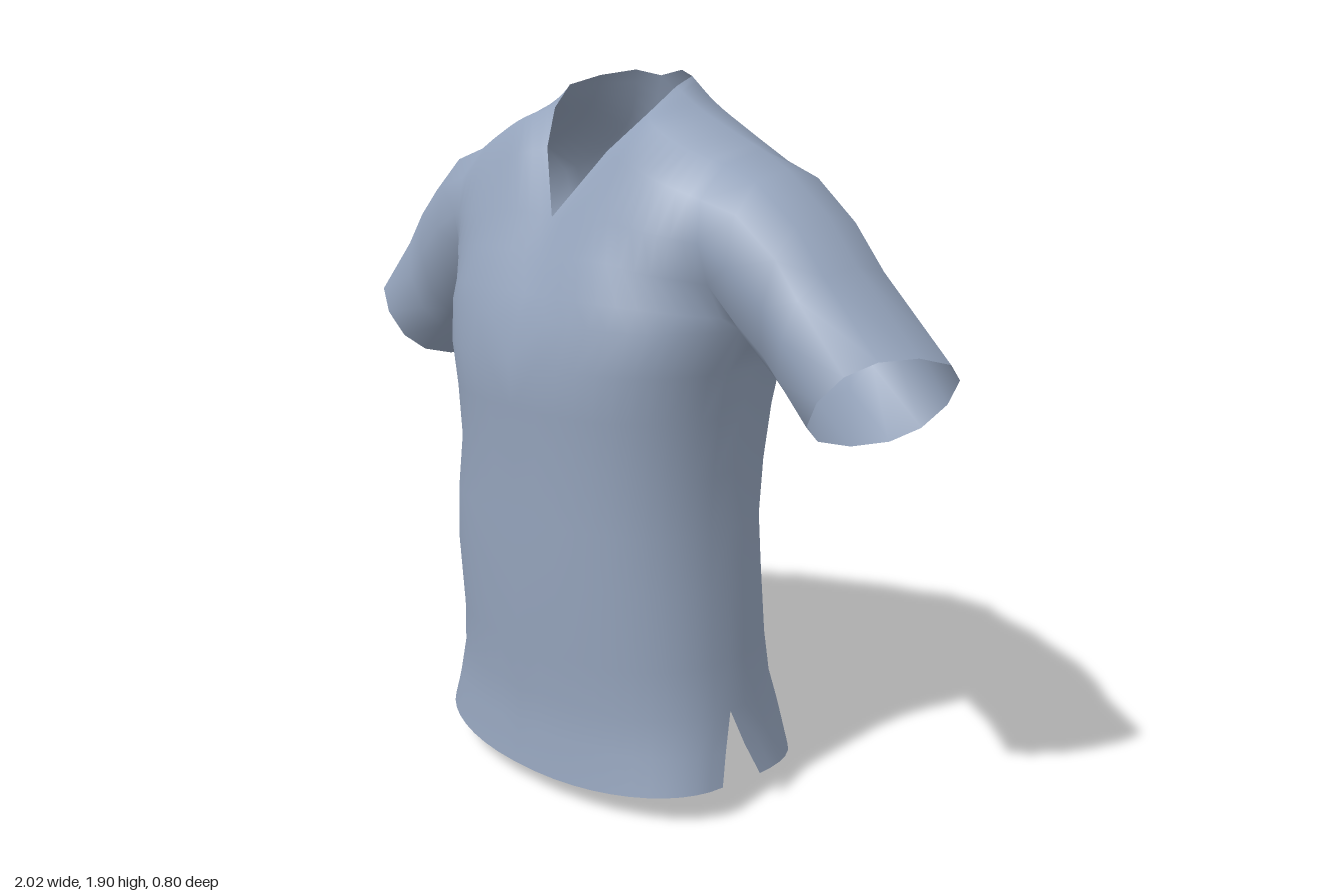
import * as THREE from 'three';
import { mergeVertices } from 'three/addons/utils/BufferGeometryUtils.js';

const COLS = 12;
const V = (p) => new THREE.Vector3(...p);

// Torso levels: y, half width (+x side), half width (-x side), front z, side z of front, side z of back, back z
const LEVELS = [
  [0, 0.53, 0.51, 0.4, 0.13, -0.01, -0.4],
  [0.17, 0.51, 0.495, 0.385, 0.1, 0.03, -0.37],
  [0.27, 0.495, 0.48, 0.38, 0.07, 0.07, -0.34],
  [0.4, 0.48, 0.47, 0.385, 0.06, 0.06, -0.305],
  [0.6, 0.465, 0.49, 0.39, 0.05, 0.05, -0.275],
  [0.75, 0.455, 0.48, 0.39, 0.04, 0.04, -0.255],
  [0.9, 0.455, 0.45, 0.39, 0.03, 0.03, -0.262],
  [1.05, 0.468, 0.462, 0.395, 0.02, 0.02, -0.272],
  [1.17, 0.49, 0.485, 0.4, 0.01, 0.01, -0.282],
  [1.28, 0.52, 0.515, 0.37, 0, 0, -0.292],
];

// Chest and back above the armpit: each row runs from the middle or neckline to the armhole
const SHOULDER = [[0.21, 1.86, 0.01], [0.28, 1.81, 0], [0.39, 1.76, 0], [0.5, 1.715, 0]];
const CHEST = [
  [[0, 1.34, 0.345], [0.27, 1.34, 0.335], [0.45, 1.325, 0.225], [0.515, 1.31, 0.1]],
  [[0, 1.43, 0.3], [0.22, 1.44, 0.305], [0.39, 1.42, 0.265], [0.5, 1.4, 0.18]],
  [[0, 1.53, 0.25], [0.18, 1.54, 0.255], [0.35, 1.52, 0.25], [0.49, 1.5, 0.205]],
  [[0.12, 1.7, 0.165], [0.21, 1.68, 0.195], [0.34, 1.64, 0.205], [0.48, 1.6, 0.185]],
  [[0.19, 1.8, 0.08], [0.25, 1.775, 0.135], [0.36, 1.725, 0.14], [0.48, 1.68, 0.11]],
  SHOULDER,
];
const UPPER_BACK = [
  [[0, 1.4, -0.28], [0.26, 1.37, -0.305], [0.45, 1.33, -0.25], [0.515, 1.31, -0.12]],
  [[0, 1.6, -0.25], [0.2, 1.49, -0.295], [0.36, 1.44, -0.305], [0.5, 1.4, -0.215]],
  [[0, 1.885, -0.135], [0.17, 1.67, -0.24], [0.33, 1.57, -0.275], [0.49, 1.5, -0.23]],
  [[0.09, 1.9, -0.125], [0.18, 1.77, -0.185], [0.32, 1.68, -0.215], [0.48, 1.6, -0.2]],
  [[0.18, 1.885, -0.075], [0.24, 1.82, -0.1], [0.34, 1.75, -0.125], [0.48, 1.68, -0.12]],
  SHOULDER,
];

// Sleeve rings: top x, top y, bottom x, bottom y, half depth, sideways skew
const RINGS = [
  [0.59, 1.67, 0.575, 1.235, 0.2, 0],
  [0.72, 1.57, 0.655, 1.165, 0.188, 0],
  [0.81, 1.46, 0.705, 1.12, 0.185, -0.01],
  [1.0, 1.27, 0.81, 1.03, 0.19, -0.04],
];

const power = (v, e) => Math.sign(v) * Math.pow(Math.abs(v), e);

// One half of the front or back, as rows from hem to shoulder seam
function panelRows(front, side) {
  const rows = LEVELS.map(([y, wl, wr, zf, sf, sb, zb], r) => {
    const w = side > 0 ? wl : wr, zs = front ? sf : sb, zm = front ? zf : zb;
    // Rounder at the hem, boxier at the armpit
    const e = 2 / (front ? 2.2 + 0.35 * y : 1.95 + 0.5 * y);
    return Array.from({ length: COLS + 1 }, (_, j) => {
      const a = (j / COLS) * Math.PI / 2;
      const s = j === COLS ? 1 : Math.pow(Math.sin(a), e);
      const c = j === COLS ? 0 : Math.pow(Math.cos(a), e);
      // Curved hem, lower behind than in front
      const hem = r > 0 ? y : front ? 0.055 + 0.03 * s * s : 0.08 * s * s;
      return new THREE.Vector3(side * w * s, hem, zs + (zm - zs) * c);
    });
  });
  for (const ctrl of front ? CHEST : UPPER_BACK) {
    const curve = new THREE.CatmullRomCurve3(ctrl.map(V));
    rows.push(curve.getPoints(COLS).map((p) => p.setX(p.x * side)));
  }
  return rows;
}

// Sleeve rows: the armhole loop, then rings down to the cuff
function sleeveRows(front, back, side) {
  const first = LEVELS.length - 1;
  const edge = (rows) => rows.slice(first).map((row) => row[COLS].clone());
  const hole = [...edge(front), ...edge(back).reverse().slice(1)];
  const n = hole.length - 1;
  const rings = RINGS.map(([tx, ty, bx, by, d, skew]) => hole.map((_, k) => {
    const a = ((k % n) / n) * Math.PI * 2;
    const c = -power(Math.cos(a), 0.85), s = power(Math.sin(a), 0.85);
    return new THREE.Vector3(
      side * ((tx + bx) / 2 + c * (tx - bx) / 2 + skew * s),
      (ty + by) / 2 + c * (ty - by) / 2 - skew * s * 0.6,
      0.003 + d * s);
  }));
  return [hole, ...rings];
}

export function createModel() {
  const group = new THREE.Group();
  group.name = 'shirt';
  const cloth = new THREE.MeshStandardMaterial({ color: 0x94a3bb, side: THREE.DoubleSide });
  cloth.name = 'blue grey cloth';

  const positions = [], index = [], parts = [];
  function addPart(name, rows, flip) {
    const start = index.length, base = positions.length / 3, n = rows[0].length;
    rows.forEach((row) => row.forEach((p) => positions.push(p.x, p.y, p.z)));
    for (let i = 0; i < rows.length - 1; i++) {
      for (let j = 0; j < n - 1; j++) {
        const a = base + i * n + j, b = a + 1, d = a + n, c = d + 1;
        if (flip) index.push(a, c, b, a, d, c);
        else index.push(a, b, c, a, c, d);
      }
    }
    parts.push({ name, start, end: index.length });
  }

  for (const side of [1, -1]) {
    const label = side > 0 ? 'left' : 'right';
    const front = panelRows(true, side), back = panelRows(false, side);
    addPart(label + 'FrontPanel', front, side < 0);
    addPart(label + 'BackPanel', back, side > 0);
    addPart(label + 'Sleeve', sleeveRows(front, back, side), side > 0);
  }

  // Weld all parts so the shading runs smoothly over the seams
  let shell = new THREE.BufferGeometry();
  shell.setAttribute('position', new THREE.Float32BufferAttribute(positions, 3));
  shell.setIndex(index);
  shell = mergeVertices(shell, 1e-4);
  shell.computeVertexNormals();
  const welded = Array.from(shell.index.array);

  for (const { name, start, end } of parts) {
    const geometry = new THREE.BufferGeometry();
    geometry.setAttribute('position', shell.attributes.position);
    geometry.setAttribute('normal', shell.attributes.normal);
    geometry.setIndex(welded.slice(start, end));
    const mesh = new THREE.Mesh(geometry, cloth);
    mesh.name = name;
    group.add(mesh);
  }
  return group;
}
